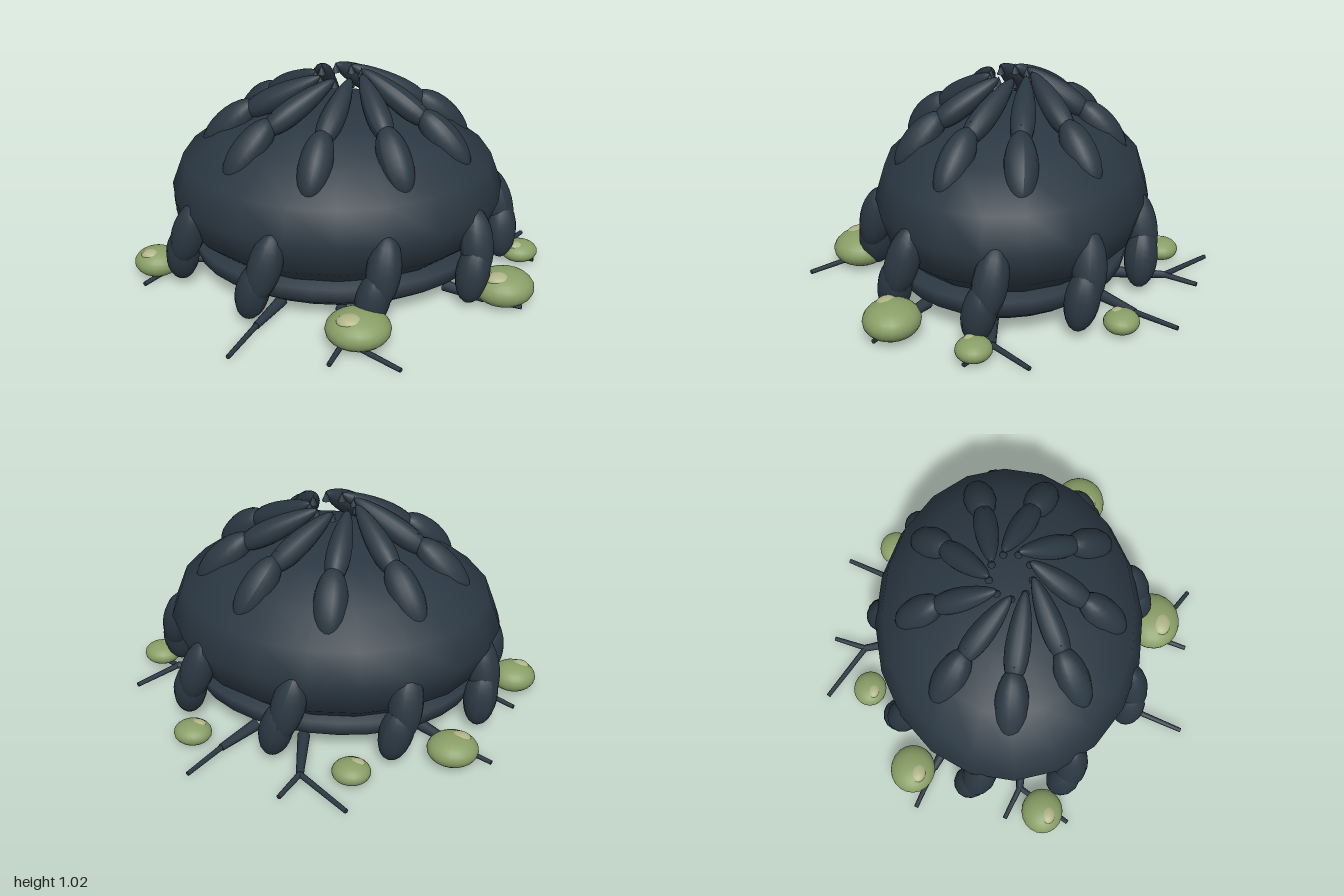
import * as THREE from 'three';

const dark = new THREE.MeshStandardMaterial({ color: 0x2a3742 });
const green = new THREE.MeshStandardMaterial({ color: 0x889e66 });
const pale = new THREE.MeshStandardMaterial({ color: 0xb0b487 });
const UP = new THREE.Vector3(0, 1, 0);

// point on an elliptical ring, angle in degrees
function ring(deg, rx, rz, y) {
  const t = THREE.MathUtils.degToRad(deg);
  return new THREE.Vector3(rx * Math.cos(t), y, rz * Math.sin(t));
}

// place a unit-height-centred geometry between two points
function span(geometry, a, b, name) {
  const mesh = new THREE.Mesh(geometry, dark);
  mesh.name = name;
  mesh.position.addVectors(a, b).multiplyScalar(0.5);
  mesh.quaternion.setFromUnitVectors(UP, b.clone().sub(a).normalize());
  return mesh;
}

// ellipsoid lobe from a to b; taper > 0 makes end b fatter
function lobe(a, b, radius, taper, name) {
  const half = a.distanceTo(b) / 2;
  const g = new THREE.SphereGeometry(1, 14, 12);
  const p = g.attributes.position;
  for (let i = 0; i < p.count; i++) {
    const y = p.getY(i), s = radius * (1 + taper * y);
    p.setXYZ(i, p.getX(i) * s, y * half, p.getZ(i) * s);
  }
  g.computeVertexNormals();
  return span(g, a, b, name);
}

function twig(a, b, r0, r1, name) {
  return span(new THREE.CylinderGeometry(r1, r0, a.distanceTo(b), 8), a, b, name);
}

function ellipsoid(material, x, y, z, rx, ry, rz, name, w = 20, h = 14) {
  const mesh = new THREE.Mesh(new THREE.SphereGeometry(1, w, h), material);
  mesh.position.set(x, y, z);
  mesh.scale.set(rx, ry, rz);
  mesh.name = name;
  return mesh;
}

export function createModel() {
  const model = new THREE.Group();

  // domed body
  model.add(ellipsoid(dark, -0.01, 0.44, -0.01, 0.8, 0.425, 0.655, 'body', 20, 8));

  // shallow rounded base under the dome
  const profile = [[0, 0.03], [0.45, 0.035], [0.62, 0.06], [0.7, 0.11], [0.72, 0.19], [0.5, 0.2]]
    .map(([x, y]) => new THREE.Vector2(x, y));
  const base = new THREE.Mesh(new THREE.LatheGeometry(profile, 32), dark);
  base.scale.z = 0.8;
  base.name = 'base';
  model.add(base);

  for (let k = 0; k < 9; k++) {
    // swirling crown petal: long inner stalk and outer lobe
    const t = 22 + 40 * k;
    const petal = new THREE.Group();
    petal.name = 'crownPetal';
    const tip = ring(t - 40, 0.11, 0.1, 1.02);
    const joint = ring(t - 1, 0.45, 0.37, 0.81);
    const lobeTop = ring(t - 2, 0.4, 0.33, 0.87);
    petal.add(lobe(tip, joint, 0.056, 0.3, 'petalStalk'));
    petal.add(lobe(lobeTop, ring(t + 1, 0.645, 0.535, 0.62), 0.078, 0, 'petalLobe'));
    const nub = new THREE.Mesh(new THREE.ConeGeometry(0.02, 0.06, 8), dark);
    nub.position.copy(lobeTop).add(new THREE.Vector3(0, 0.005, 0));
    nub.name = 'petalNub';
    petal.add(nub);
    const point = new THREE.Mesh(new THREE.ConeGeometry(0.02, 0.05, 8), dark);
    point.position.copy(tip).add(new THREE.Vector3(0, -0.015, 0));
    point.name = 'petalPoint';
    petal.add(point);
    model.add(petal);

    // foot around the rim: two overlapping lobes
    const f = -2 + 40 * k;
    const foot = new THREE.Group();
    foot.name = 'foot';
    foot.add(lobe(ring(f - 5, 0.74, 0.61, 0.48), ring(f, 0.82, 0.68, 0.15), 0.08, 0, 'upperFoot'));
    foot.add(lobe(ring(f - 1, 0.8, 0.66, 0.33), ring(f + 4, 0.8, 0.66, 0.04), 0.08, 0, 'lowerFoot'));
    model.add(foot);
  }

  // flattened pods with a pale cap: x, y, z, radius, height radius
  const pods = [
    [0.08, 0.097, 0.74, 0.15, 0.085], [0.77, 0.097, 0.395, 0.143, 0.085],
    [0.9, 0.062, 0, 0.09, 0.052], [0.55, 0.062, -0.6, 0.09, 0.052],
    [-0.23, 0.062, -0.73, 0.09, 0.052], [-0.66, 0.085, -0.51, 0.12, 0.07],
    [-0.89, 0.08, 0.125, 0.11, 0.07],
  ];
  for (const [x, y, z, r, h] of pods) {
    const pod = new THREE.Group();
    pod.name = 'pod';
    pod.add(ellipsoid(green, x, y, z, r, h, r * 0.92, 'podBody'));
    pod.add(ellipsoid(pale, x - r * 0.22, y + h * 0.66, z + r * 0.22, r * 0.44, h * 0.36, r * 0.34, 'podCap'));
    model.add(pod);
  }

  // forked roots on the ground: stem start, fork, then branch ends (x, z)
  const roots = [
    [[0.04, -0.5], [0, -0.76], [-0.25, -0.95], [0.06, -0.92]],
    [[0.28, -0.47], [0.4, -0.65], [0.5, -0.85]],
    [[0.58, -0.02], [0.8, -0.06], [0.95, -0.25], [0.97, 0.03]],
    [[0.5, 0.3], [0.68, 0.4], [0.85, 0.46]],
    [[0.01, 0.5], [0.02, 0.74], [-0.05, 0.91], [0.26, 0.95]],
    [[-0.27, 0.43], [-0.38, 0.62], [-0.49, 0.85]],
    [[-0.55, 0.04], [-0.76, 0.02], [-0.91, -0.06], [-0.94, 0.25]],
    [[-0.48, -0.31], [-0.65, -0.41], [-0.84, -0.5]],
  ];
  for (const [start, fork, ...ends] of roots) {
    const root = new THREE.Group();
    root.name = 'root';
    const f = new THREE.Vector3(fork[0], 0.03, fork[1]);
    root.add(twig(new THREE.Vector3(start[0], 0.045, start[1]), f, 0.03, 0.018, 'rootStem'));
    for (const [x, z] of ends) {
      root.add(twig(f, new THREE.Vector3(x, 0.022, z), 0.014, 0.011, 'rootBranch'));
    }
    model.add(root);
  }
  return model;
}
